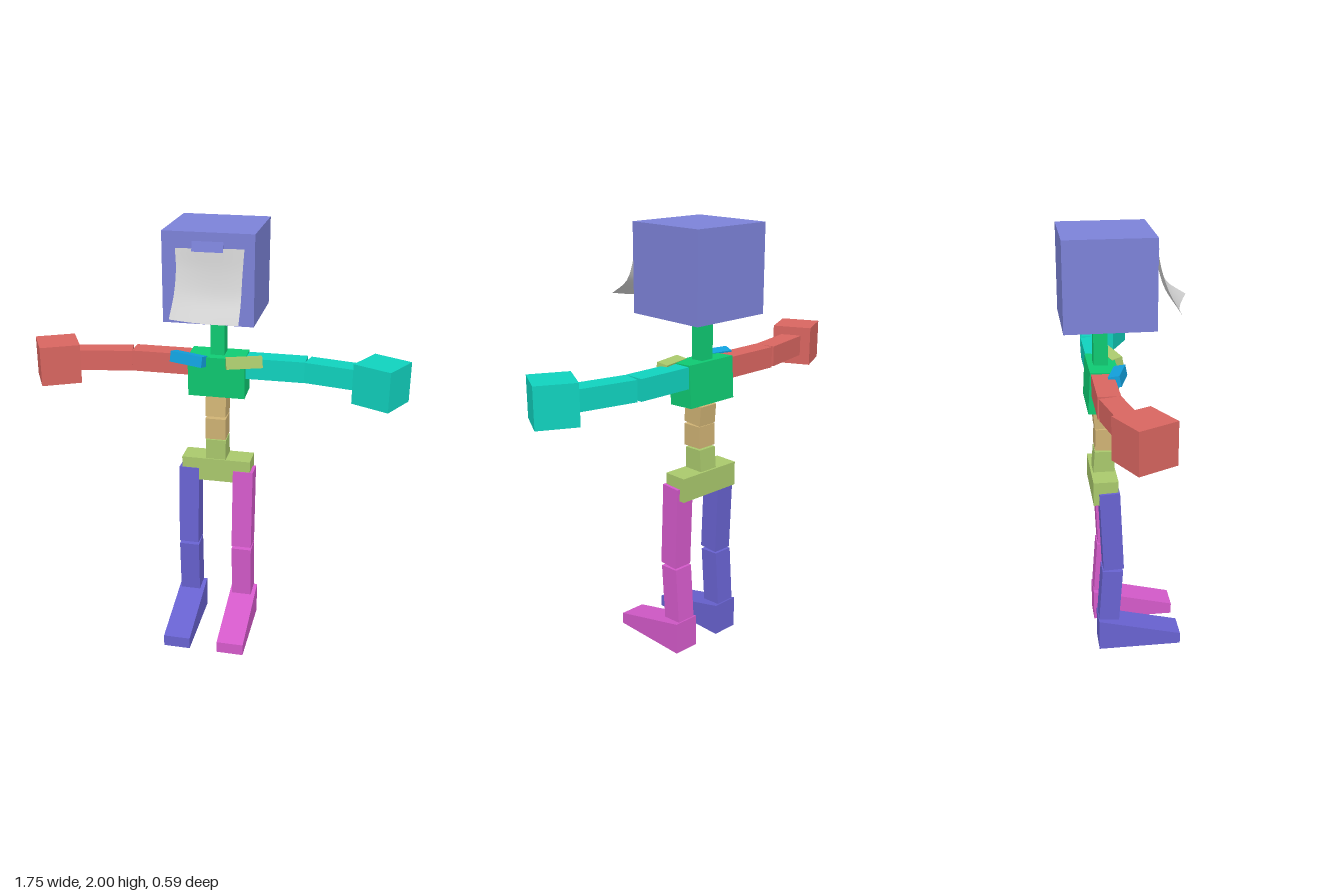
import * as THREE from 'three';

const paint = (name, color, side = THREE.FrontSide) => {
  const m = new THREE.MeshStandardMaterial({ color, side });
  m.name = name;
  return m;
};

export function createModel() {
  const root = new THREE.Group();
  root.name = 'blockFigure';

  const periwinkle = paint('periwinkle', 0x7c82d8);
  const paper = paint('paper grey', 0xd2d2d2, THREE.DoubleSide);
  const teal = paint('teal', 0x10d2be);
  const red = paint('red', 0xd86560);
  const green = paint('green', 0x0fca72);
  const tan = paint('tan', 0xcfb274);
  const olive = paint('olive', 0xa9c86c);
  const blue = paint('blue', 0x12a0dc);
  const violet = paint('violet', 0x6862d0);
  const magenta = paint('magenta', 0xd45aca);

  const add = (name, geometry, material) => {
    const mesh = new THREE.Mesh(geometry, material);
    mesh.name = name;
    root.add(mesh);
    return mesh;
  };

  // Block with a side profile of [z, y] corners, running from x0 to x1
  const block = (name, material, x0, x1, profile) => {
    const shape = new THREE.Shape(profile.map(([z, y]) => new THREE.Vector2(z, y)));
    const geo = new THREE.ExtrudeGeometry(shape, { depth: x1 - x0, bevelEnabled: false });
    geo.rotateY(-Math.PI / 2).translate(x1, 0, 0);
    return add(name, geo, material);
  };

  const box = (name, material, size, position) => {
    const mesh = add(name, new THREE.BoxGeometry(...size), material);
    mesh.position.set(...position);
    return mesh;
  };

  // Head, neck and trunk
  box('head', periwinkle, [0.4, 0.396, 0.4], [-0.005, 1.802, -0.095]);
  box('neck', green, [0.065, 0.22, 0.064], [-0.004, 1.5, -0.122]);
  block('chest', green, -0.136, 0.129, [[-0.06, 1.207], [-0.05, 1.4], [-0.18, 1.407], [-0.19, 1.214]]);
  block('upperSpine', tan, -0.054, 0.042, [[-0.054, 1.11], [-0.064, 1.205], [-0.162, 1.195], [-0.154, 1.103]]);
  block('middleSpine', tan, -0.054, 0.042, [[-0.056, 0.995], [-0.054, 1.098], [-0.152, 1.1], [-0.154, 0.998]]);
  block('lowerSpine', olive, -0.054, 0.042, [[-0.066, 0.885], [-0.064, 0.987], [-0.156, 0.99], [-0.165, 0.885]]);
  block('pelvis', olive, -0.17, 0.16, [[-0.06, 0.774], [-0.06, 0.888], [-0.175, 0.888], [-0.175, 0.774]]);

  // Arms, collars and legs on both sides
  for (const [side, s, armPaint, collarPaint, legPaint] of [
    ['left', 1, teal, olive, magenta],
    ['right', -1, red, blue, violet],
  ]) {
    const cx = -0.004;
    box(side + 'UpperArm', armPaint, [0.28, 0.098, 0.098], [cx + s * 0.265, 1.35, -0.126]);

    const forearm = box(side + 'Forearm', armPaint, [0.265, 0.096, 0.096], [cx + s * 0.542, 1.35, -0.096]);
    forearm.rotation.y = -s * 0.21;

    const hand = box(side + 'Hand', armPaint, [0.184, 0.184, 0.184], [cx + s * 0.749, 1.346, -0.03]);
    hand.rotation.y = -s * 0.47;

    const collar = box(side + 'Collar', collarPaint, [0.165, 0.05, 0.052], [cx + s * 0.129, 1.385, -0.058]);
    collar.rotation.set(-0.2, s * 0.27, s * 0.08);

    const legX = cx + s * 0.131;
    block(side + 'Thigh', legPaint, legX - 0.048, legX + 0.048,
      [[-0.038, 0.437], [-0.055, 0.835], [-0.15, 0.831], [-0.134, 0.432]]);
    block(side + 'Shin', legPaint, legX - 0.048, legX + 0.048,
      [[-0.062, 0.153], [-0.042, 0.42], [-0.139, 0.426], [-0.158, 0.16]]);
    block(side + 'Foot', legPaint, legX - 0.064, legX + 0.064,
      [[0.237, 0], [0.237, 0.056], [-0.16, 0.156], [-0.16, 0]]);
  }

  // Curled sheet hanging on the face, blended between its two side edges
  const v3 = (p) => new THREE.Vector3(...p);
  const rightEdge = new THREE.CatmullRomCurve3(
    [[-0.145, 1.93, 0.112], [-0.137, 1.85, 0.13], [-0.138, 1.75, 0.165], [-0.148, 1.652, 0.222]].map(v3));
  const leftEdge = new THREE.CatmullRomCurve3(
    [[0.155, 1.942, 0.13], [0.152, 1.83, 0.155], [0.155, 1.73, 0.2], [0.163, 1.664, 0.292]].map(v3));
  const sheet = new THREE.PlaneGeometry(1, 1, 12, 12);
  const pos = sheet.attributes.position;
  for (let i = 0; i < pos.count; i++) {
    const u = pos.getX(i) + 0.5, t = 0.5 - pos.getY(i);
    const p = rightEdge.getPoint(t).lerp(leftEdge.getPoint(t), u);
    const sag = Math.sin(Math.PI * u) * t;
    pos.setXYZ(i, p.x, p.y - 0.012 * sag, p.z - 0.02 * sag);
  }
  sheet.computeVertexNormals();
  add('faceSheet', sheet, paper);

  // Tape strip holding the sheet
  const tape = box('tape', periwinkle, [0.135, 0.044, 0.006], [-0.003, 1.943, 0.122]);
  tape.rotation.x = -0.2;

  return root;
}
